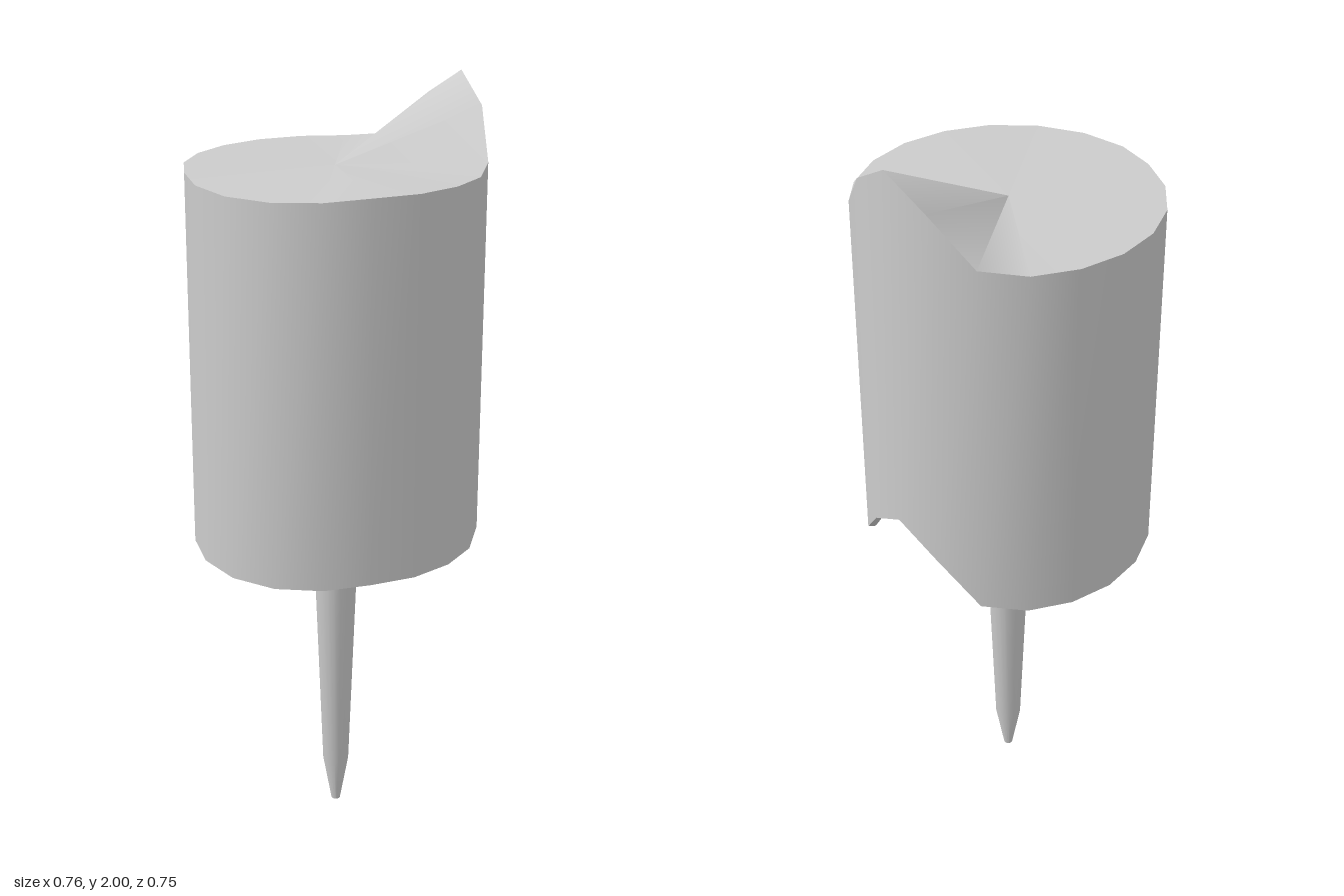
import * as THREE from 'three';
import { toCreasedNormals } from 'three/addons/utils/BufferGeometryUtils.js';

const SIDES = 20;
const CX = 0.005;

export function createModel() {
  const group = new THREE.Group();
  const material = new THREE.MeshStandardMaterial({ color: 0xcccccc, side: THREE.DoubleSide });

  const add = (name, geometry) => {
    const mesh = new THREE.Mesh(geometry, material);
    mesh.name = name;
    group.add(mesh);
  };

  // Rise of the peak on the +x side, by steps away from the peak
  const rise = [0.2, 0.13, 0.012];

  // Ring of points that follows the peak; the body bulges slightly at one corner
  const ring = (height, inset) => Array.from({ length: SIDES }, (_, i) => {
    const a = (i / SIDES) * Math.PI * 2;
    const d = a - 2.67;
    const bulge = Math.abs(d) < Math.PI / 4 ? Math.cos(2 * d) : 0;
    const r = 0.375 + 0.022 * bulge - inset;
    const lift = rise[Math.min(i, SIDES - i)] ?? 0;
    return new THREE.Vector3(CX + r * Math.cos(a), height + lift - 0.01 * bulge, r * Math.sin(a));
  });
  const centre = (height) => Array.from({ length: SIDES }, () => new THREE.Vector3(CX, height, 0));

  // Smooth band between two rings
  const band = (a, b) => {
    const geometry = new THREE.BufferGeometry().setFromPoints([...a, ...b]);
    const index = [];
    for (let i = 0; i < SIDES; i++) {
      const j = (i + 1) % SIDES;
      index.push(i, SIDES + i, j, j, SIDES + i, SIDES + j);
    }
    geometry.setIndex(index);
    geometry.computeVertexNormals();
    return geometry;
  };

  // Hollow body
  const top = ring(1.8, 0);
  const outerRim = ring(0.832, 0);
  const innerRim = ring(0.832, 0.02);
  const ceiling = ring(1.09, 0.02);
  add('outerWall', band(outerRim, top));
  add('topSurface', band(top, centre(1.8)));
  add('bottomRim', band(innerRim, outerRim));
  add('innerWall', band(ceiling, innerRim));
  add('ceiling', band(centre(1.09), ceiling));

  // Turned parts on the axis
  const turned = (name, profile) => {
    const points = profile.map(([r, y]) => new THREE.Vector2(r, y));
    const geometry = new THREE.LatheGeometry(points, 20).translate(CX + 0.003, 0, 0);
    add(name, toCreasedNormals(geometry, 0.6));
  };
  turned('collar', [[0.055, 0.822], [0.083, 0.822], [0.083, 1.1]]);
  turned('spike', [[0, 0], [0.012, 0], [0.035, 0.13], [0.061, 0.83]]);

  return group;
}
